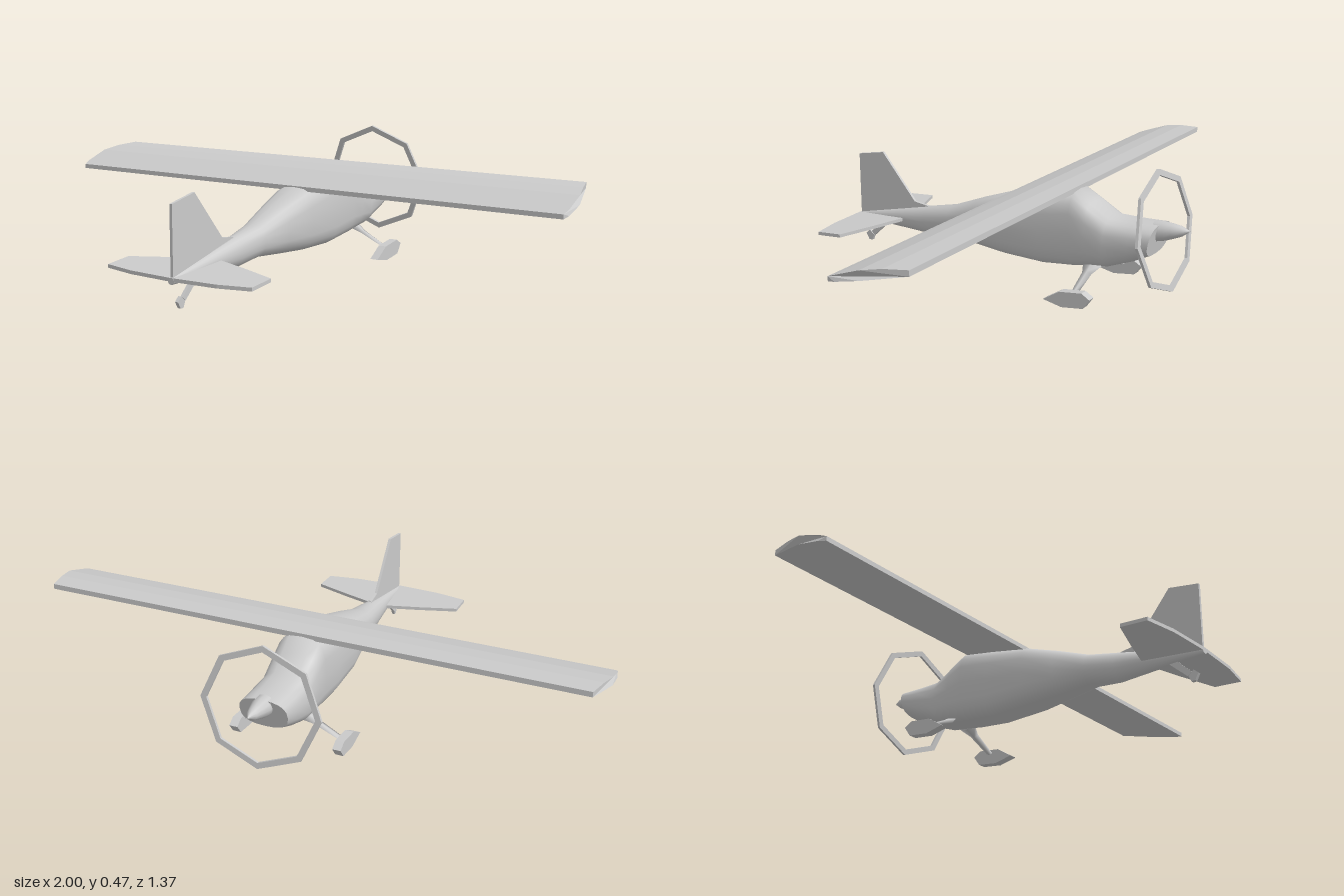
import * as THREE from 'three';

const material = new THREE.MeshStandardMaterial({ color: 0xcccccc, side: THREE.DoubleSide });

function add(parent, name, geometry) {
  const mesh = new THREE.Mesh(geometry, material);
  mesh.name = name;
  parent.add(mesh);
  return mesh;
}

const toShape = (points) => new THREE.Shape(points.map(([a, b]) => new THREE.Vector2(a, b)));

// Side-on plate: points are [z, y], thickness runs along x
function sidePlate(points, thickness) {
  return new THREE.ExtrudeGeometry(toShape(points), { depth: thickness, bevelEnabled: false })
    .translate(0, 0, -thickness / 2)
    .rotateY(-Math.PI / 2);
}

// Surface through rings of equal length, optionally with its ends closed
function loft(rings, capped) {
  const n = rings[0].length;
  const pos = rings.flat(2);
  const index = [];
  for (let i = 0; i < rings.length - 1; i++) {
    for (let j = 0; j < n; j++) {
      const a = i * n + j, b = i * n + (j + 1) % n;
      index.push(a, a + n, b, b, a + n, b + n);
    }
  }
  if (capped) {
    // separate cap vertices keep the end edges sharp
    for (const [ring, flip] of [[rings[0], false], [rings[rings.length - 1], true]]) {
      const base = pos.length / 3;
      pos.push(...ring.flat());
      for (let j = 1; j < n - 1; j++) {
        index.push(base, base + (flip ? j + 1 : j), base + (flip ? j : j + 1));
      }
    }
  }
  const g = new THREE.BufferGeometry();
  g.setAttribute('position', new THREE.Float32BufferAttribute(pos, 3));
  g.setIndex(index);
  g.computeVertexNormals();
  return g;
}

// Fuselage stations: z, top, bottom, half width, squareness
const STATIONS = [
  [-0.585, 0.286, 0.178, 0.084, 2.6],
  [-0.5, 0.284, 0.145, 0.088, 2.6],
  [-0.41, 0.284, 0.11, 0.089, 2.8],
  [-0.34, 0.325, 0.1, 0.09, 3],
  [-0.28, 0.358, 0.09, 0.09, 3.2],
  [-0.16, 0.335, 0.077, 0.09, 3.2],
  [0, 0.3, 0.08, 0.089, 3],
  [0.125, 0.257, 0.088, 0.073, 2.6],
  [0.245, 0.21, 0.098, 0.056, 2.3],
  [0.355, 0.187, 0.083, 0.041, 2.1],
  [0.45, 0.165, 0.085, 0.031, 2],
  [0.68, 0.112, 0.09, 0.012, 2],
];

function fuselageGeometry() {
  const sides = 20;
  const rings = STATIONS.map(([z, top, bottom, w, n], i) => {
    const ring = [];
    for (let j = 0; j < sides; j++) {
      const a = (j / sides) * Math.PI * 2;
      const c = Math.cos(a), s = Math.sin(a);
      const y = Math.sign(s) * Math.abs(s) ** (2 / n);
      // the cowl face leans back toward the chin
      const lean = i === 0 ? 0.01 * (1 - y) : 0;
      ring.push([
        w * Math.sign(c) * Math.abs(c) ** (2 / n),
        (top + bottom) / 2 + (y * (top - bottom)) / 2,
        z + lean,
      ]);
    }
    return ring;
  });
  return loft(rings.map((r) => r.reverse()), true);
}

// Straight wing, each chord point stretched to its own half span
function wingGeometry() {
  const airfoil = [
    [-0.28, 0.35], [-0.13, 0.318], [-0.04, 0.297], [-0.01, 0.29],
    [-0.01, 0.306], [-0.04, 0.318], [-0.13, 0.35], [-0.2, 0.363], [-0.28, 0.369],
  ];
  const g = sidePlate(airfoil, 2);
  const p = g.attributes.position;
  for (let i = 0; i < p.count; i++) {
    const z = p.getZ(i);
    const span = z < -0.13 ? 1 - (0.035 * (-0.13 - z)) / 0.15 : z > -0.02 ? 0.993 : 1;
    p.setX(i, Math.sign(p.getX(i)) * span);
  }
  g.computeVertexNormals();
  return g;
}

function tailplaneGeometry() {
  const half = [[0.03, 0.46], [0.15, 0.5], [0.285, 0.55], [0.285, 0.65], [0.17, 0.672], [0, 0.68]];
  const outline = [...half, ...half.slice(0, -1).reverse().map(([x, z]) => [-x, z])];
  const g = new THREE.ExtrudeGeometry(toShape(outline), { depth: 0.012, bevelEnabled: false });
  g.rotateX(Math.PI / 2);
  // slight nose-up incidence
  const p = g.attributes.position;
  for (let i = 0; i < p.count; i++) p.setY(i, p.getY(i) + 0.112 + (0.68 - p.getZ(i)) * 0.08);
  g.computeVertexNormals();
  return g;
}

function propeller() {
  const group = new THREE.Group();
  group.name = 'propeller';
  group.position.set(0, 0.262, -0.596);

  // eight-sided ring, tipped back
  const octagon = (r) => Array.from({ length: 8 }, (_, i) => {
    const a = (i * Math.PI) / 4;
    return new THREE.Vector2(r * Math.cos(a), r * Math.sin(a));
  });
  const shape = new THREE.Shape(octagon(0.209));
  shape.holes.push(new THREE.Path(octagon(0.188)));
  const ring = new THREE.ExtrudeGeometry(shape, { depth: 0.01, bevelEnabled: false });
  add(group, 'propellerRing', ring.translate(0, 0, -0.005)).rotation.x = 0.158;

  const profile = [[0.036, -0.03], [0.033, 0], [0.026, 0.03], [0.018, 0.06], [0, 0.092]];
  const spinner = new THREE.LatheGeometry(profile.map(([r, y]) => new THREE.Vector2(r, y)), 12);
  add(group, 'spinner', spinner).rotation.x = -1.413;
  return group;
}

function mainGear(side) {
  const group = new THREE.Group();
  group.name = side > 0 ? 'leftGear' : 'rightGear';
  const spat = [
    [-0.254, 0.018], [-0.325, 0.004], [-0.405, 0.015],
    [-0.43, 0.05], [-0.4, 0.068], [-0.316, 0.057],
  ].reverse();
  add(group, 'wheelFairing', sidePlate(spat, 0.03)).position.x = side * 0.188;

  // leg sections: x, y, half chord, half thickness
  const rings = [[0.04, 0.115, 0.038, 0.012], [0.085, 0.092, 0.018, 0.007], [0.185, 0.042, 0.012, 0.006]]
    .map(([x, y, c, t]) => {
      const ring = [[side * x, y, -0.355 - c], [side * x, y + t, -0.355], [side * x, y, -0.355 + c], [side * x, y - t, -0.355]];
      return side > 0 ? ring.reverse() : ring;
    });
  add(group, 'gearLeg', loft(rings, true));
  return group;
}

export function createModel() {
  const model = new THREE.Group();
  model.name = 'lightAircraft';

  add(model, 'fuselage', fuselageGeometry());
  add(model, 'wing', wingGeometry());
  add(model, 'tailplane', tailplaneGeometry());
  add(model, 'fin', sidePlate([[0.36, 0.17], [0.675, 0.095], [0.675, 0.343], [0.5625, 0.364], [0.42, 0.195], [0.36, 0.187]], 0.01));
  model.add(propeller(), mainGear(1), mainGear(-1));

  // Tail wheel and its strut
  add(model, 'tailStrut', sidePlate([[0.545, 0.092], [0.615, 0.028], [0.63, 0.04], [0.575, 0.095]], 0.01));
  add(model, 'tailWheel', sidePlate([[0.655, 0.03], [0.642, 0.007], [0.628, 0.006], [0.618, 0.028], [0.638, 0.045]], 0.012));
  return model;
}
